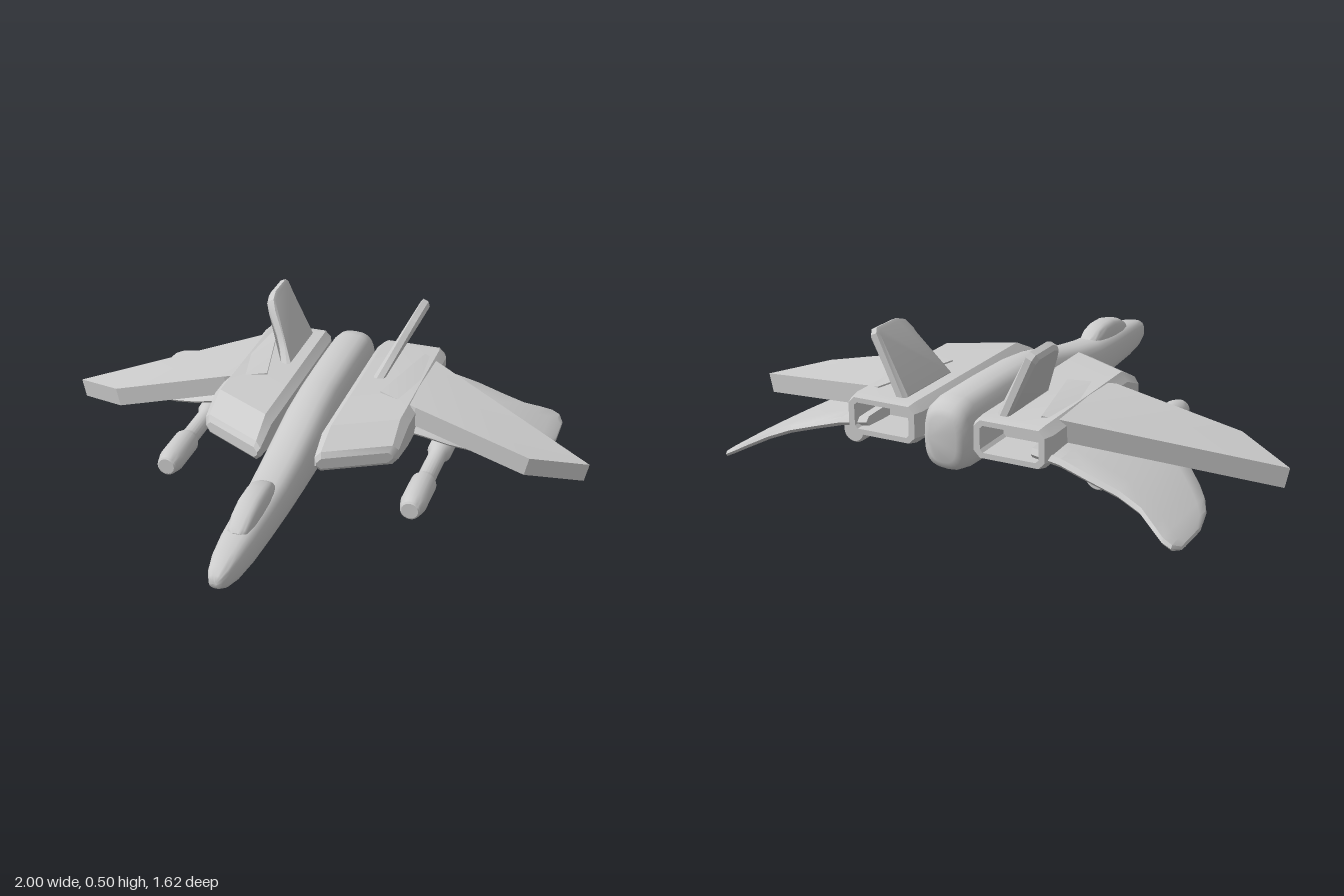
import * as THREE from 'three';
import { toCreasedNormals } from 'three/addons/utils/BufferGeometryUtils.js';

const material = new THREE.MeshStandardMaterial({ color: 0xcccccc });

// Skin a list of closed rings of [x, y, z] points, with both ends capped.
function loft(rings, crease = 0.6) {
  const n = rings[0].length;
  const pos = rings.flat(2);
  const index = [];
  rings.slice(1).forEach((_, r) => {
    for (let i = 0; i < n; i++) {
      const a = r * n + i, b = r * n + (i + 1) % n;
      index.push(a, b, b + n, a, b + n, a + n);
    }
  });
  const end = (rings.length - 1) * n;
  for (let i = 1; i < n - 1; i++) {
    index.push(0, i + 1, i, end, end + i, end + i + 1);
  }
  // Turn the faces outward if the enclosed volume comes out negative
  const p = (i) => new THREE.Vector3().fromArray(pos, i * 3);
  let volume = 0;
  for (let i = 0; i < index.length; i += 3) {
    volume += p(index[i]).dot(p(index[i + 1]).cross(p(index[i + 2])));
  }
  if (volume < 0) index.reverse();
  const geo = new THREE.BufferGeometry();
  geo.setAttribute('position', new THREE.Float32BufferAttribute(pos, 3));
  geo.setIndex(index);
  return toCreasedNormals(geo, crease);
}

// Rounded-box section in the xy plane; a larger power is boxier.
function section(z, halfW, bottom, top, power = 2.8, n = 24) {
  const bend = (v) => Math.sign(v) * Math.abs(v) ** (2 / power);
  return Array.from({ length: n }, (_, i) => {
    const t = (i / n) * Math.PI * 2;
    return [halfW * bend(Math.cos(t)), (top + bottom) / 2 + (top - bottom) / 2 * bend(Math.sin(t)), z];
  });
}

// Chamfered rectangle whose depth is given by a function of x.
function chamferRing(s, x0, x1, y0, y1, c, zAt) {
  return [
    [x0 + c, y0], [x1 - c, y0], [x1, y0 + c], [x1, y1 - c],
    [x1 - c, y1], [x0 + c, y1], [x0, y1 - c], [x0, y0 + c],
  ].map(([x, y]) => [s * x, y, zAt(x)]);
}

function engine(s) {
  const slant = (z) => (x) => z - 0.55 * (x - 0.1);
  const flat = (z) => () => z;
  return loft([
    chamferRing(s, 0.11, 0.35, 0.175, 0.215, 0.015, slant(0.12)),
    chamferRing(s, 0.1, 0.365, 0.16, 0.235, 0.02, slant(0.105)),
    chamferRing(s, 0.095, 0.37, 0.145, 0.285, 0.028, slant(0)),
    chamferRing(s, 0.095, 0.37, 0.145, 0.285, 0.028, flat(-0.7)),
    chamferRing(s, 0.108, 0.357, 0.152, 0.277, 0.022, flat(-0.735)),
    // hollow exhaust
    chamferRing(s, 0.13, 0.335, 0.17, 0.26, 0.01, flat(-0.735)),
    chamferRing(s, 0.13, 0.335, 0.17, 0.26, 0.01, flat(-0.58)),
  ], 0.4);
}

// Flat, forward-swept slab that droops towards the tip
function mainWing(s) {
  const plan = [[0.3, -0.645], [0.22, -0.3], [0.37, -0.24], [0.8, -0.2], [1, -0.31]];
  const layer = (drop, inset) => plan.map(([x, z]) =>
    [s * (x - inset), Math.min(0.29, 0.28 - 0.25 * (x - 0.37)) - drop, z]);
  return loft([layer(0.07, 0.015), layer(0, 0)], 0.2);
}

// Thin curved wing, drooping to a hooked tip
function lowerWing(s) {
  // x, leading z, trailing z, centre y, thickness
  const stations = [
    [0.3, -0.23, -0.72, 0.19, 0.04], [0.4, -0.23, -0.725, 0.175, 0.036],
    [0.5, -0.245, -0.735, 0.147, 0.034], [0.6, -0.285, -0.735, 0.115, 0.032],
    [0.68, -0.345, -0.75, 0.083, 0.03], [0.74, -0.41, -0.79, 0.055, 0.028],
    [0.78, -0.465, -0.815, 0.035, 0.026], [0.81, -0.53, -0.815, 0.02, 0.024],
    [0.828, -0.62, -0.78, 0.01, 0.014],
  ];
  return loft(stations.map(([x, lead, trail, y, t]) => {
    const mid = (lead + trail) / 2, half = (lead - trail) / 2;
    return [[1, 0], [0.94, 0.4], [0.6, 0.5], [-0.6, 0.5], [-0.94, 0.4],
      [-1, 0], [-0.94, -0.4], [-0.6, -0.5], [0.6, -0.5], [0.94, -0.4]]
      .map(([u, v]) => [s * x, y + v * t, mid + u * half]);
  }), 0.7);
}

// Upright fin with a curved leading edge, leaning outward
function tailFin(s) {
  const outline = [[-0.39, 0.27], [-0.44, 0.325], [-0.465, 0.37], [-0.49, 0.45],
    [-0.515, 0.485], [-0.56, 0.5], [-0.675, 0.5], [-0.69, 0.485], [-0.69, 0.27]];
  const layer = (offset, scale) => outline.map(([z, y]) => [
    s * (0.187 + (y - 0.28) * 0.45 + offset),
    0.38 + (y - 0.38) * scale - offset * 0.45,
    -0.57 + (z + 0.57) * scale,
  ]);
  return loft([layer(-0.018, 0.9), layer(-0.01, 1), layer(0.01, 1), layer(0.018, 0.9)], 0.5);
}

function podGeometry() {
  // radius, z from the back to the front
  const profile = [[0, -0.57], [0.038, -0.57], [0.045, -0.56], [0.045, -0.29], [0.033, -0.26],
    [0.033, -0.09], [0.047, -0.06], [0.047, 0.08], [0.036, 0.125], [0.03, 0.13], [0, 0.13]];
  const geo = new THREE.LatheGeometry(profile.map(([r, z]) => new THREE.Vector2(r, z)), 20);
  geo.rotateX(Math.PI / 2);
  return toCreasedNormals(geo, 0.5);
}

export function createModel() {
  const model = new THREE.Group();
  const add = (name, geometry) => {
    const mesh = new THREE.Mesh(geometry, material);
    mesh.name = name;
    model.add(mesh);
    return mesh;
  };

  // Body: z, half width, bottom, top
  const body = [
    [0.805, 0.008, 0.124, 0.14], [0.795, 0.024, 0.108, 0.158], [0.765, 0.038, 0.092, 0.174],
    [0.7, 0.052, 0.077, 0.19], [0.6, 0.062, 0.068, 0.202], [0.45, 0.069, 0.063, 0.21],
    [0.3, 0.075, 0.061, 0.222], [0.15, 0.08, 0.06, 0.245], [0, 0.084, 0.06, 0.277],
    [-0.12, 0.086, 0.06, 0.302], [-0.25, 0.086, 0.06, 0.316], [-0.45, 0.086, 0.062, 0.32],
    [-0.66, 0.086, 0.07, 0.318], [-0.71, 0.082, 0.08, 0.308], [-0.735, 0.07, 0.095, 0.29],
    [-0.745, 0.05, 0.115, 0.27],
  ];
  add('fuselage', loft(body.map((b) => section(...b)), 0.7));

  // Canopy: z, half width, top
  const canopy = [[0.615, 0.02, 0.203], [0.6, 0.034, 0.218], [0.55, 0.042, 0.243],
    [0.48, 0.045, 0.259], [0.41, 0.045, 0.26], [0.36, 0.042, 0.25],
    [0.325, 0.036, 0.232], [0.31, 0.022, 0.22]];
  add('canopy', loft(canopy.map(([z, w, top]) => section(z, w, 0.15, top, 3)), 0.7));

  for (const [side, s] of [['left', 1], ['right', -1]]) {
    add(`${side}Engine`, engine(s));
    add(`${side}MainWing`, mainWing(s));
    add(`${side}LowerWing`, lowerWing(s));
    add(`${side}TailFin`, tailFin(s));
    add(`${side}Pod`, podGeometry()).position.set(s * 0.455, 0.083, 0);
    // Short pylon joining the pod to the wing
    const pylon = new THREE.BoxGeometry(0.025, 0.06, 0.22);
    add(`${side}Pylon`, pylon).position.set(s * 0.455, 0.135, -0.42);
  }
  return model;
}
